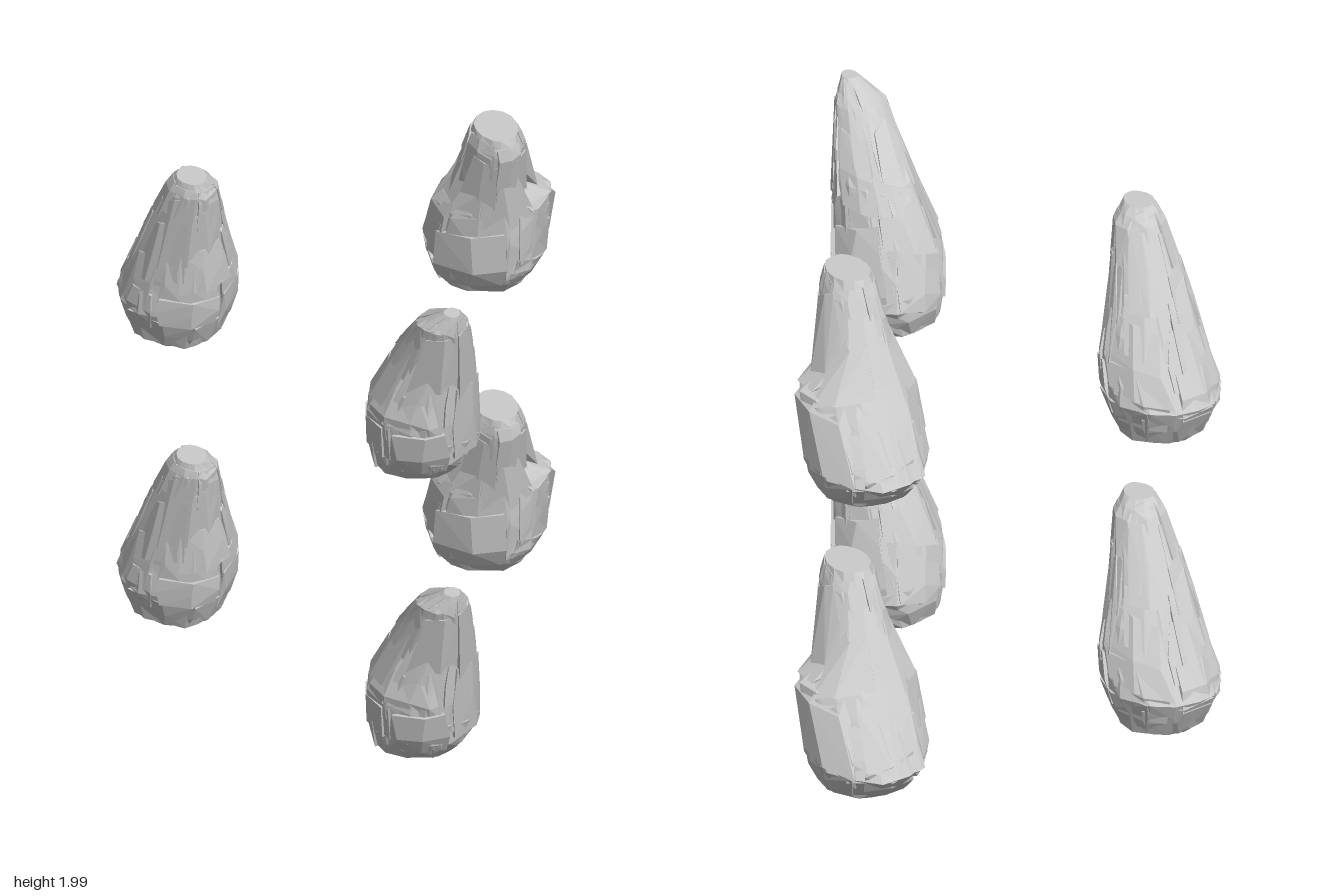
import * as THREE from 'three';
import { ConvexGeometry } from 'three/addons/geometries/ConvexGeometry.js';

const SIDES = 14;
const { lerp, clamp } = THREE.MathUtils;

// Extents at a few heights: [y, xMin, xMax, zBack, zFront]
const LEFT_ROCK = [
  [0.04, -0.74, -0.41, -0.76, -0.42],
  [0.18, -0.79, -0.36, -0.84, -0.35],
  [0.32, -0.76, -0.37, -0.75, -0.33],
  [0.50, -0.73, -0.43, -0.64, -0.32],
  [0.74, -0.68, -0.49, -0.48, -0.27],
  [0.80, -0.65, -0.54, -0.42, -0.28],
];
const FRONT_ROCK = [
  [0.04, -0.19, 0.14, 0.35, 0.65],
  [0.15, -0.21, 0.19, 0.3, 0.75],
  [0.34, -0.23, 0.17, 0.36, 0.79],
  [0.55, -0.14, 0.14, 0.46, 0.8],
  [0.76, -0.11, 0.08, 0.67, 0.87],
  [0.84, -0.03, 0.03, 0.8, 0.87],
];
const RIGHT_ROCK = [
  [0.04, 0.38, 0.73, -0.77, -0.46],
  [0.15, 0.34, 0.78, -0.88, -0.36],
  [0.41, 0.35, 0.78, -0.71, -0.34],
  [0.48, 0.41, 0.66, -0.66, -0.33],
  [0.71, 0.43, 0.64, -0.53, -0.26],
  [0.78, 0.45, 0.61, -0.49, -0.27],
];

function seeded(seed) {
  let s = seed * 7919;
  return () => (s = (s * 16807) % 2147483647) / 2147483647;
}

// Adds the smaller underside ring below the lowest extents
function withUnderside(profile) {
  const [, x0, x1, z0, z1] = profile[0];
  return [[0.01, lerp(x0, x1, 0.22), lerp(x0, x1, 0.78), lerp(z0, z1, 0.15), lerp(z0, z1, 0.65)], ...profile];
}

// Point on the rock at a fractional row and an angle; the front half is narrower
function surfacePoint(rows, row, angle, scale) {
  const r = clamp(row, 0, rows.length - 1);
  const i = Math.min(Math.floor(r), rows.length - 2);
  const [y, x0, x1, z0, z1] = rows[i].map((v, k) => lerp(v, rows[i + 1][k], r - i));
  const s = Math.sin(angle);
  const taper = 1 - 0.22 * Math.max(s, 0) ** 2;
  return new THREE.Vector3(
    (x0 + x1) / 2 + (x1 - x0) / 2 * Math.cos(angle) * taper * scale,
    y,
    (z0 + z1) / 2 + (z1 - z0) / 2 * s * scale);
}

// Closed, faceted body lofted through rings at every half row
function bodyGeometry(rows, rand) {
  const last = (rows.length - 1) * 2;
  const rings = Array.from({ length: last + 1 }, (_, i) => Array.from({ length: SIDES }, (_, j) => {
    const angle = (j + 0.3 * (rand() - 0.5)) / SIDES * Math.PI * 2;
    const p = surfacePoint(rows, i / 2, angle, 0.94 + 0.06 * rand());
    if (i > 0 && i < last) p.y += 0.02 * (rand() - 0.5);
    return p;
  }));
  const bottom = surfacePoint(rows, 0, 0, 0);
  const top = surfacePoint(rows, rows.length - 1, 0, 0);
  const pts = [];
  for (let j = 0; j < SIDES; j++) {
    const k = (j + 1) % SIDES;
    for (let i = 0; i < last; i++) {
      const [a, b, c, d] = [rings[i][j], rings[i][k], rings[i + 1][k], rings[i + 1][j]];
      pts.push(a, c, b, a, d, c);
    }
    pts.push(bottom, rings[0][j], rings[0][k], top, rings[last][k], rings[last][j]);
  }
  const geometry = new THREE.BufferGeometry().setFromPoints(pts);
  geometry.computeVertexNormals();
  return geometry;
}

// Angular slab bulging slightly from the body, leaving ledges and cracks
function slabGeometry(rows, row, angle, rand) {
  const h = 0.4 + 0.4 * rand();
  const w = 0.4 + 0.3 * rand();
  const slant = 0.4 * (rand() - 0.5);
  const bulge = 0.985 + 0.05 * rand();
  const pts = [];
  for (const u of [-1, 0, 1]) {
    for (const v of [-1, 0, 1]) {
      const a = angle + u * w + 0.15 * (rand() - 0.5);
      const r = row + v * h + u * slant;
      pts.push(surfacePoint(rows, r, a, bulge + 0.02 * (rand() - 0.5)));
      if (u && v) pts.push(surfacePoint(rows, r, a, 0.7));
    }
  }
  return new ConvexGeometry(pts);
}

function createRock(profile, seed) {
  const material = new THREE.MeshStandardMaterial({ color: 0xcccccc, flatShading: true });
  const rand = seeded(seed);
  const rows = withUnderside(profile);
  const rock = new THREE.Group();
  const add = (geometry, name) => {
    const mesh = new THREE.Mesh(geometry, material);
    mesh.name = name;
    rock.add(mesh);
  };
  add(bodyGeometry(rows, rand), 'body');
  // Slabs staggered around the body in courses
  for (let row = 1.5; row < rows.length - 1.4; row += 0.7) {
    const start = rand() * Math.PI * 2;
    for (let k = 0; k < 5; k++) {
      add(slabGeometry(rows, row + 0.3 * (rand() - 0.5), start + k / 5 * Math.PI * 2, rand), 'slab');
    }
  }
  return rock;
}

export function createModel() {
  const model = new THREE.Group();
  model.name = 'rockSet';
  const rocks = {
    leftRock: createRock(LEFT_ROCK, 11),
    frontRock: createRock(FRONT_ROCK, 29),
    rightRock: createRock(RIGHT_ROCK, 47),
  };
  // Each rock appears twice, one above the other
  for (const [name, lower] of Object.entries(rocks)) {
    const upper = lower.clone();
    lower.name = `${name}Lower`;
    upper.name = `${name}Upper`;
    upper.position.y = 1.16;
    model.add(lower, upper);
  }
  return model;
}
